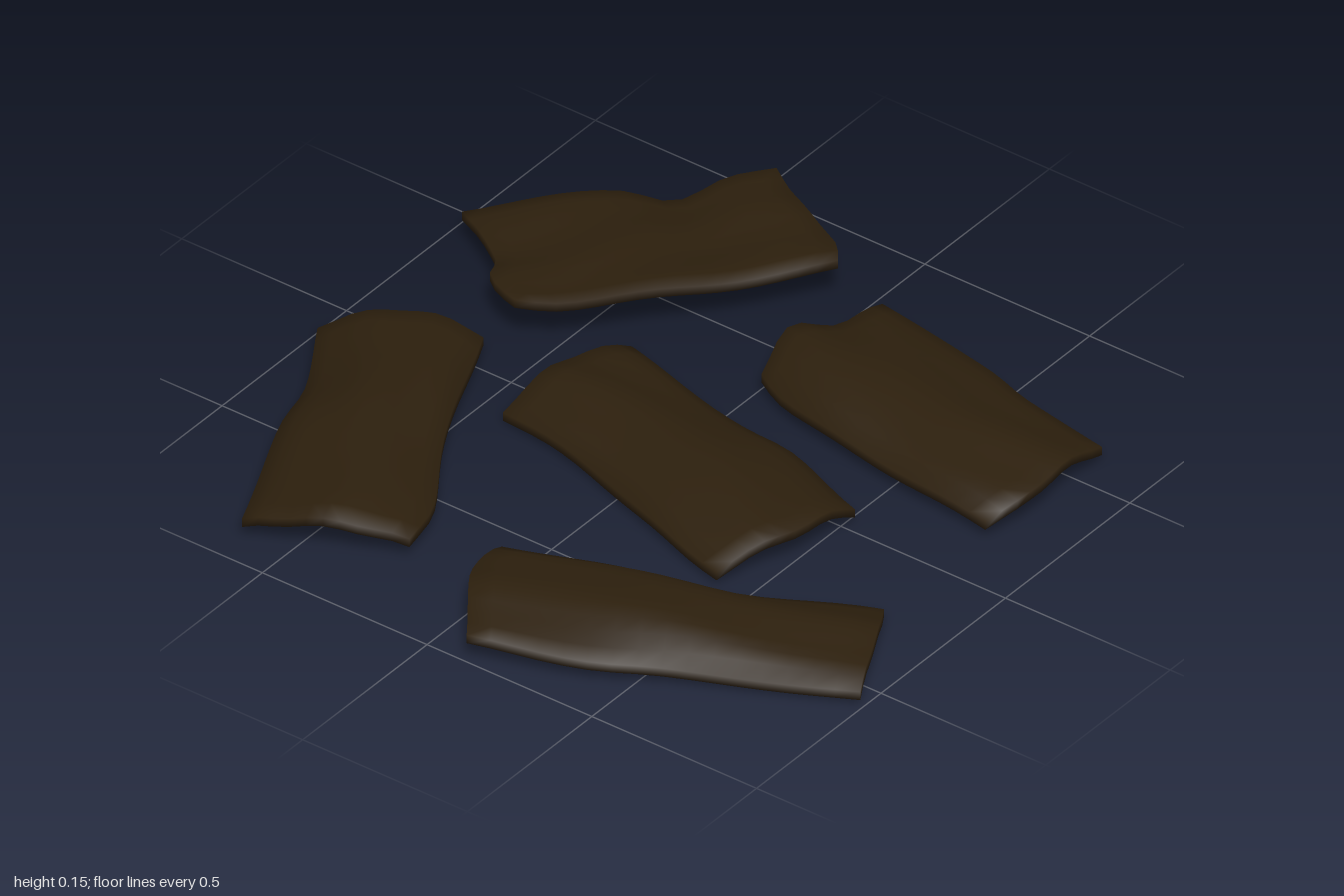
import * as THREE from 'three';

const U = 10, V = 16; // cells across and along each piece

// Each piece: corners [x, y, z] in the order a, b, c, d, the arch of its
// cross-section, and the inner [x, z, lift] points of its four outline edges.
const PIECES = [
  { name: 'barkBackLeft', arch: 0.065,
    corners: [[-0.74, 0.05, -0.25], [-0.91, 0.045, -0.63], [-0.13, 0.025, -0.99], [0.06, 0.05, -0.63]],
    start: [[-0.86, -0.45]], right: [[-0.53, -0.80], [-0.37, -0.85]],
    end: [[0, -0.80]], left: [[-0.61, -0.28], [-0.35, -0.44]] },
  { name: 'barkBackRight', arch: 0.005,
    corners: [[0.12, 0.145, -0.58], [0.41, 0.085, -0.96], [1, 0.09, -0.45], [0.73, 0.13, -0.06]],
    start: [[0.18, -0.70], [0.27, -0.75]], right: [[0.70, -0.70], [0.78, -0.59, -0.03], [0.90, -0.52]],
    end: [[0.80, -0.12], [0.90, -0.30]], left: [[0.18, -0.49], [0.42, -0.28]] },
  { name: 'barkCentre', arch: 0.07,
    corners: [[-0.14, 0.025, -0.42], [0.26, 0.03, -0.33], [0.03, 0.045, 0.52], [-0.38, 0.045, 0.41]],
    start: [[0, -0.40], [0.10, -0.39, -0.015]], right: [[0.14, 0.10], [0.12, 0.27]],
    end: [[-0.19, 0.50]], left: [[-0.20, -0.14], [-0.35, 0.29]] },
  { name: 'barkFrontLeft', arch: 0.055,
    corners: [[-1, 0.07, 0.12], [-0.66, 0.085, -0.03], [-0.25, 0.025, 0.82], [-0.57, 0.035, 0.99]],
    start: [[-0.80, -0.01]], right: [[-0.55, 0.20], [-0.40, 0.56]],
    end: [[-0.36, 0.89]], left: [[-0.89, 0.41], [-0.79, 0.56]] },
  { name: 'barkFrontRight', arch: 0.065,
    corners: [[0.33, 0.06, 0.01], [0.75, 0.05, 0.06], [0.60, 0.045, 0.84], [0.17, 0.05, 0.81]],
    start: [[0.47, -0.01, 0.01], [0.60, 0.05, -0.025]], right: [[0.68, 0.44], [0.63, 0.59]],
    end: [[0.25, 0.85]], left: [[0.28, 0.11], [0.20, 0.51]] },
];

// Sample an outline edge evenly between two corners, height changing steadily
function sampleEdge(from, inner, to, count) {
  const middle = inner.map(([x, z, lift = 0], i) =>
    new THREE.Vector3(x, THREE.MathUtils.lerp(from.y, to.y, (i + 1) / (inner.length + 1)) + lift, z));
  return new THREE.CatmullRomCurve3([from, ...middle, to], false, 'centripetal').getSpacedPoints(count);
}

// Curved slab: a patch blended from its four edges, thickened, with a closed rim
function barkGeometry({ corners, arch, start, right, end, left }, phase) {
  const [a, b, c, d] = corners.map((corner) => new THREE.Vector3(...corner));
  const s = sampleEdge(a, start, b, U), e = sampleEdge(d, end, c, U);
  const l = sampleEdge(a, left, d, V), r = sampleEdge(b, right, c, V);
  const top = [], bottom = [], index = [];
  for (let j = 0; j <= V; j++) {
    for (let i = 0; i <= U; i++) {
      const u = i / U, v = j / V;
      const p = new THREE.Vector3()
        .addScaledVector(s[i], 1 - v).addScaledVector(e[i], v)
        .addScaledVector(l[j], 1 - u).addScaledVector(r[j], u)
        .addScaledVector(a, -(1 - u) * (1 - v)).addScaledVector(b, -u * (1 - v))
        .addScaledVector(d, -(1 - u) * v).addScaledVector(c, -u * v);
      // Arch across the grain, plus wavy ridges along it
      const across = 4 * u * (1 - u), along = 4 * v * (1 - v);
      p.y += arch * across * (0.75 + 0.25 * along);
      p.y += 0.005 * Math.sin(u * 13 + 2.2 * Math.sin(v * 4 + phase) + phase);
      p.y += 0.004 * Math.sin(v * 11 + phase * 2 + u * 2);
      const half = 0.012 + 0.011 * Math.sqrt(across * along);
      top.push(p.x, p.y + half, p.z);
      bottom.push(p.x, p.y - half, p.z);
    }
  }
  const n = (U + 1) * (V + 1), at = (i, j) => j * (U + 1) + i;
  for (let j = 0; j < V; j++) {
    for (let i = 0; i < U; i++) {
      const A = at(i, j), B = at(i + 1, j), C = at(i + 1, j + 1), D = at(i, j + 1);
      index.push(A, D, C, A, C, B, A + n, C + n, D + n, A + n, B + n, C + n);
    }
  }
  const rim = [];
  for (let i = 0; i < U; i++) rim.push(at(i, 0));
  for (let j = 0; j < V; j++) rim.push(at(U, j));
  for (let i = U; i > 0; i--) rim.push(at(i, V));
  for (let j = V; j > 0; j--) rim.push(at(0, j));
  rim.forEach((p, k) => {
    const q = rim[(k + 1) % rim.length];
    index.push(p, q, q + n, p, q + n, p + n);
  });
  const geometry = new THREE.BufferGeometry();
  geometry.setAttribute('position', new THREE.Float32BufferAttribute([...top, ...bottom], 3));
  geometry.setIndex(index);
  geometry.computeVertexNormals();
  return geometry;
}

export function createModel() {
  const model = new THREE.Group();
  model.name = 'barkPieces';
  const bark = new THREE.MeshStandardMaterial({ color: 0x2c1f0d });
  bark.name = 'darkBark';
  PIECES.forEach((piece, i) => {
    const mesh = new THREE.Mesh(barkGeometry(piece, 0.4 + i * 1.25), bark);
    mesh.name = piece.name;
    model.add(mesh);
  });
  // Rest the lowest point on the ground
  const lowest = new THREE.Box3().setFromObject(model).min.y;
  model.children.forEach((mesh) => mesh.geometry.translate(0, -lowest, 0));
  return model;
}
